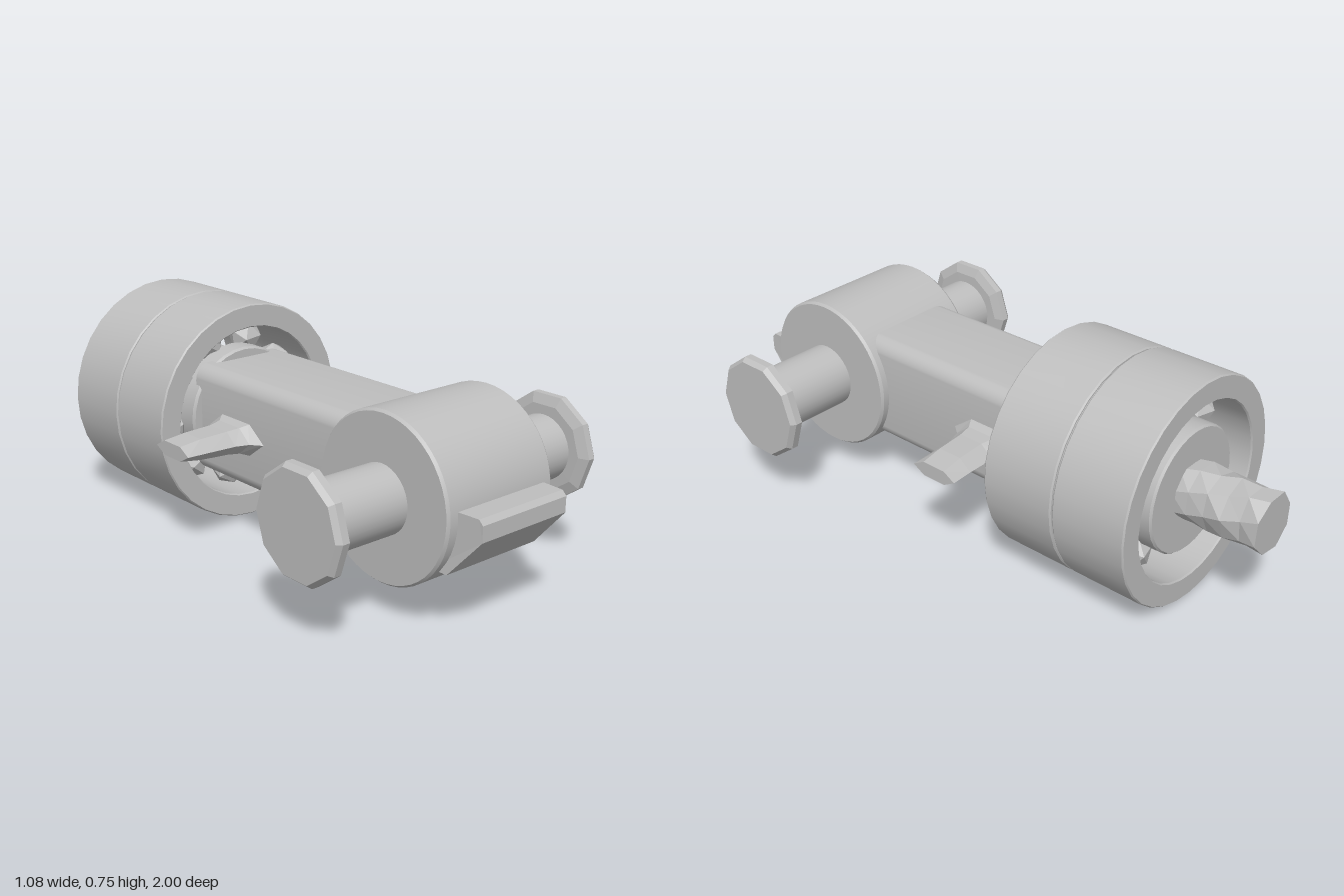
import * as THREE from 'three';
import { toCreasedNormals } from 'three/addons/utils/BufferGeometryUtils.js';

const AXIS_Y = 0.375;   // height of the wheel axis
const PIVOT_Y = 0.37;   // height of the cross pin
const PIVOT_Z = 0.65;

export function createModel() {
  const model = new THREE.Group();
  const steel = new THREE.MeshStandardMaterial({ color: 0xbebebe });
  steel.name = 'plain grey metal';

  const add = (name, geometry, x = 0, y = 0, z = 0) => {
    const mesh = new THREE.Mesh(geometry, steel);
    mesh.name = name;
    mesh.position.set(x, y, z);
    model.add(mesh);
    return mesh;
  };
  // Turned part: profile of [radius, height] pairs, with crisp corners
  const turned = (profile, sides, crease = 0.6) => toCreasedNormals(
    new THREE.LatheGeometry(profile.map(([r, h]) => new THREE.Vector2(r, h)), sides), crease);
  const facet = (geometry) => {
    const flat = geometry.index ? geometry.toNonIndexed() : geometry;
    flat.computeVertexNormals();
    return flat;
  };

  // Cross barrel with softly chamfered rims
  const barrel = turned([[0, -0.217], [0.257, -0.217], [0.264, -0.208],
    [0.264, 0.208], [0.257, 0.217], [0, 0.217]], 48, 0.5);
  barrel.rotateZ(-Math.PI / 2);
  add('crossBarrel', barrel, 0, PIVOT_Y, PIVOT_Z);

  // Pins and their faceted heads
  for (const side of [1, -1]) {
    const name = side > 0 ? 'left' : 'right';
    const pin = new THREE.CylinderGeometry(0.108, 0.108, 0.29, 32);
    pin.rotateZ(Math.PI / 2);
    add(name + 'Pin', pin, side * 0.345, PIVOT_Y, PIVOT_Z);
    const head = facet(turned([[0, -0.026], [0.145, -0.024], [0.179, -0.012],
      [0.179, 0.012], [0.166, 0.028], [0, 0.028]], 10));
    head.rotateZ(-side * Math.PI / 2);
    add(name + 'PinHead', head, side * 0.51, PIVOT_Y, PIVOT_Z);
  }

  // Wedge lug on the front of the barrel
  const wedge = new THREE.Shape([[0.82, 0.4], [0.985, 0.4], [1, 0.385], [1, 0.335],
    [0.885, 0.205], [0.82, 0.205]].map(([z, y]) => new THREE.Vector2(z, y)));
  const lug = new THREE.ExtrudeGeometry(wedge, { depth: 0.37, bevelEnabled: false });
  lug.rotateY(-Math.PI / 2);
  // narrow the lug towards its tip
  const lugPos = lug.attributes.position;
  for (let i = 0; i < lugPos.count; i++) {
    const x = lugPos.getX(i) + 0.185;
    lugPos.setX(i, x * (lugPos.getZ(i) > 0.95 ? 0.94 : 1));
  }
  add('frontLug', facet(lug));

  // Arm: rounded square bar along z
  const h = 0.186, r = 0.055;
  const bar = new THREE.Shape();
  bar.moveTo(-h + r, -h);
  bar.lineTo(h - r, -h).absarc(h - r, -h + r, r, -Math.PI / 2, 0);
  bar.lineTo(h, h - r).absarc(h - r, h - r, r, 0, Math.PI / 2);
  bar.lineTo(-h + r, h).absarc(-h + r, h - r, r, Math.PI / 2, Math.PI);
  bar.lineTo(-h, -h + r).absarc(-h + r, -h + r, r, Math.PI, Math.PI * 1.5);
  const arm = new THREE.ExtrudeGeometry(bar, { depth: 0.83, bevelEnabled: false, curveSegments: 6 });
  add('arm', toCreasedNormals(arm, 0.6), 0, AXIS_Y, -0.28);

  // Side prongs: lens-shaped sections flaring into the arm
  // each section: x, centre z, half length, half height
  const sections = [[0.16, -0.065, 0.16, 0.07], [0.19, -0.065, 0.14, 0.06],
    [0.215, -0.062, 0.105, 0.05], [0.26, -0.06, 0.088, 0.045],
    [0.36, -0.063, 0.085, 0.04], [0.437, -0.067, 0.085, 0.028]];
  const sides = 6;
  for (const side of [1, -1]) {
    const points = [], index = [];
    for (const [x, z, a, b] of sections) {
      for (let i = 0; i < sides; i++) {
        const t = (i / sides) * Math.PI * 2;
        points.push(side * x, AXIS_Y - 0.005 + b * Math.sin(t), z + a * Math.cos(t));
      }
    }
    const tri = (a, b, c) => (side > 0 ? index.push(a, b, c) : index.push(a, c, b));
    for (let s = 0; s < sections.length - 1; s++) {
      for (let i = 0; i < sides; i++) {
        const a = s * sides + i, b = s * sides + (i + 1) % sides;
        tri(a, a + sides, b);
        tri(b, a + sides, b + sides);
      }
    }
    const end = (sections.length - 1) * sides;
    for (let i = 1; i < sides - 1; i++) tri(end, end + i + 1, end + i);
    const prong = new THREE.BufferGeometry();
    prong.setAttribute('position', new THREE.Float32BufferAttribute(points, 3));
    prong.setIndex(index);
    add(side > 0 ? 'leftProng' : 'rightProng', facet(prong));
  }

  // Two outer rings with a narrow groove between them
  const ring = turned([[0.3, -0.13], [0.371, -0.13], [0.375, -0.125], [0.375, 0.125],
    [0.371, 0.13], [0.3, 0.13], [0.296, 0.125], [0.296, -0.125], [0.3, -0.13]], 32, 0.5);
  ring.rotateX(Math.PI / 2);
  add('frontRing', ring, 0, AXIS_Y, -0.347);
  add('rearRing', ring, 0, AXIS_Y, -0.612);
  const seam = turned([[0.296, -0.02], [0.366, -0.02], [0.366, 0.02], [0.296, 0.02], [0.296, -0.02]], 32);
  seam.rotateX(Math.PI / 2);
  add('ringSeam', seam, 0, AXIS_Y, -0.48);

  // Inner hub with a flange at each end
  const hub = turned([[0, -0.72], [0.204, -0.72], [0.21, -0.713], [0.21, -0.65], [0.185, -0.635],
    [0.185, -0.34], [0.22, -0.325], [0.22, -0.26], [0.214, -0.25], [0, -0.25]], 32, 0.5);
  hub.rotateX(Math.PI / 2);
  add('hub', hub, 0, AXIS_Y, 0);

  // Two rows of faceted rollers between the hub and the rings
  const roller = new THREE.IcosahedronGeometry(0.06, 0);
  const count = 9;
  for (const [z, shift] of [[-0.36, 0.5], [-0.6, 0.8]]) {
    for (let i = 0; i < count; i++) {
      const t = ((i + shift) / count) * Math.PI * 2;
      const ball = add('roller', roller, 0.243 * Math.sin(t), AXIS_Y + 0.243 * Math.cos(t), z);
      ball.rotation.set(i, i * 1.7, z * 4);
    }
  }

  // Rough twisted stub shaft at the back
  const shaft = new THREE.CylinderGeometry(0.1, 0.1, 0.3, 8, 5);
  const p = shaft.attributes.position;
  for (let i = 0; i < p.count; i++) {
    const x = p.getX(i), y = p.getY(i), z = p.getZ(i);
    const k = 0.97 + 0.05 * Math.sin(38 * x + 61 * y + 27 * z);
    const twist = y * 3.2, c = Math.cos(twist), s = Math.sin(twist);
    p.setXYZ(i, k * (x * c - z * s), y, k * (x * s + z * c));
  }
  shaft.rotateX(Math.PI / 2);
  add('rearShaft', facet(shaft), 0, 0.38, -0.85);

  return model;
}
